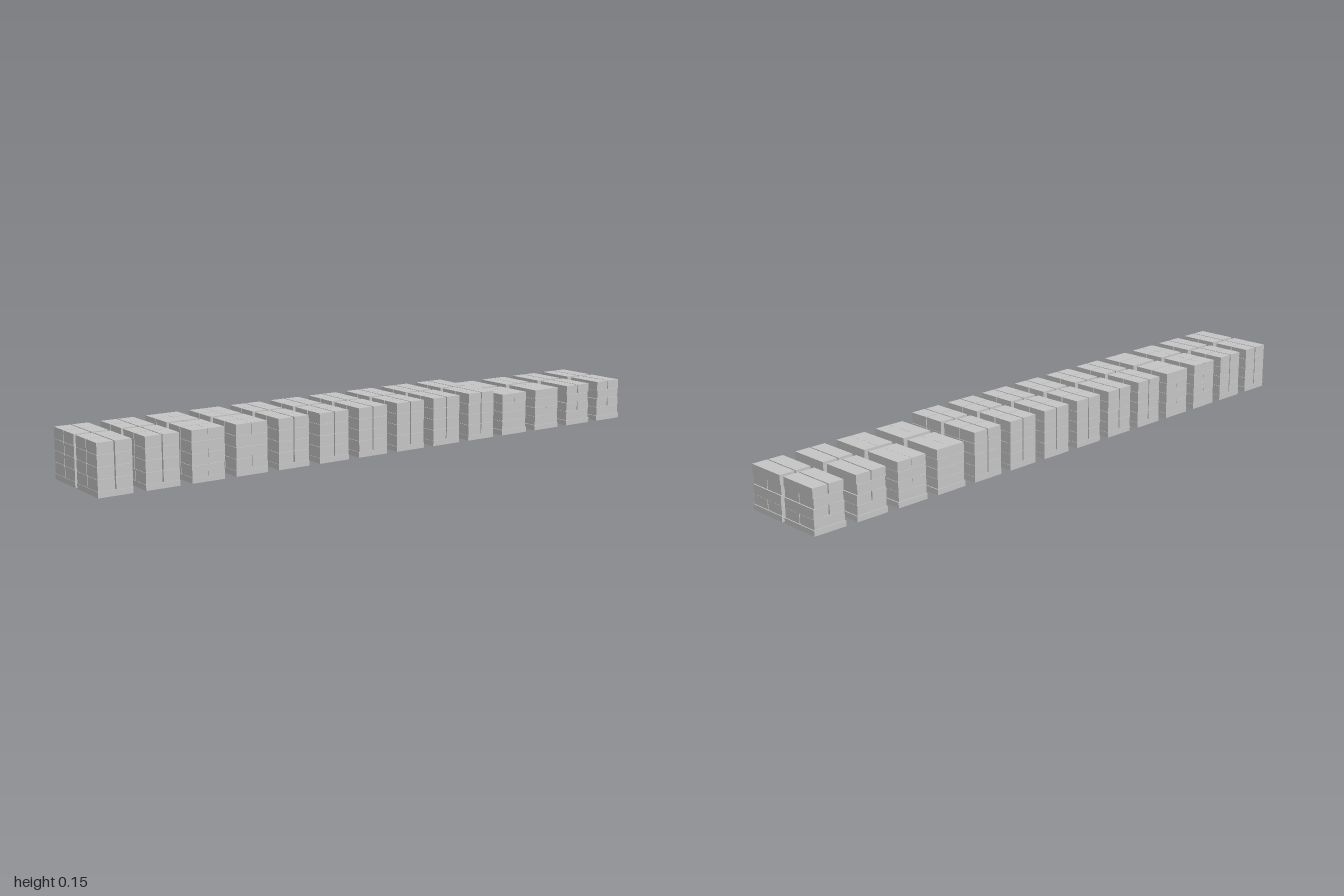
import * as THREE from 'three';

const ROWS = 14, PITCH = 0.1456, FIRST_Z = -0.9465;
const PALLET = { w: 0.134, h: 0.017, d: 0.107 };
const LAYERS = 4;

export function createModel() {
  const model = new THREE.Group();
  model.name = 'palletRows';
  const grey = new THREE.MeshStandardMaterial({ color: 0xc4c4c4 });
  grey.name = 'grey';

  function box(parent, name, w, h, d, x, y, z) {
    const mesh = new THREE.Mesh(new THREE.BoxGeometry(w, h, d), grey);
    mesh.name = name;
    mesh.position.set(x, y, z);
    parent.add(mesh);
  }

  // One layer of cartons, divided into nx by nz with a gap between them
  function layer(parent, nx, nz, w, d, y, h, gapX, gapZ) {
    const cw = (w - gapX * (nx - 1)) / nx;
    const cd = (d - gapZ * (nz - 1)) / nz;
    for (let i = 0; i < nx; i++) {
      for (let k = 0; k < nz; k++) {
        box(parent, 'carton', cw, h - 0.0008, cd,
          (i - (nx - 1) / 2) * (cw + gapX), y + h / 2, (k - (nz - 1) / 2) * (cd + gapZ));
      }
    }
  }

  for (let r = 0; r < ROWS; r++) {
    const bonded = r < 4;                                 // rear rows are stacked crosswise
    const tight = r === 2 || r === 3 || r === 10 || r === 11;
    const gapZ = tight ? 0.0006 : 0.004;
    const layerH = bonded ? 0.03 : 0.0345;
    for (const side of [-1, 1]) {
      const load = new THREE.Group();
      load.name = side > 0 ? 'leftPalletLoad' : 'rightPalletLoad';
      load.position.set(side * 0.0737, 0, FIRST_Z + r * PITCH);
      model.add(load);
      box(load, 'pallet', PALLET.w, PALLET.h, PALLET.d, 0, PALLET.h / 2, 0);
      for (let n = 0; n < LAYERS; n++) {
        const y = PALLET.h + n * layerH;
        if (!bonded) layer(load, 2, 2, 0.133, 0.106, y, layerH, 0.003, gapZ);
        else if (n % 2) layer(load, 1, 2, 0.13, 0.103, y, layerH, 0, gapZ);
        else layer(load, 2, 1, 0.13, n === 2 && !tight ? 0.098 : 0.102, y, layerH, 0.003, 0);
      }
    }
  }
  return model;
}
